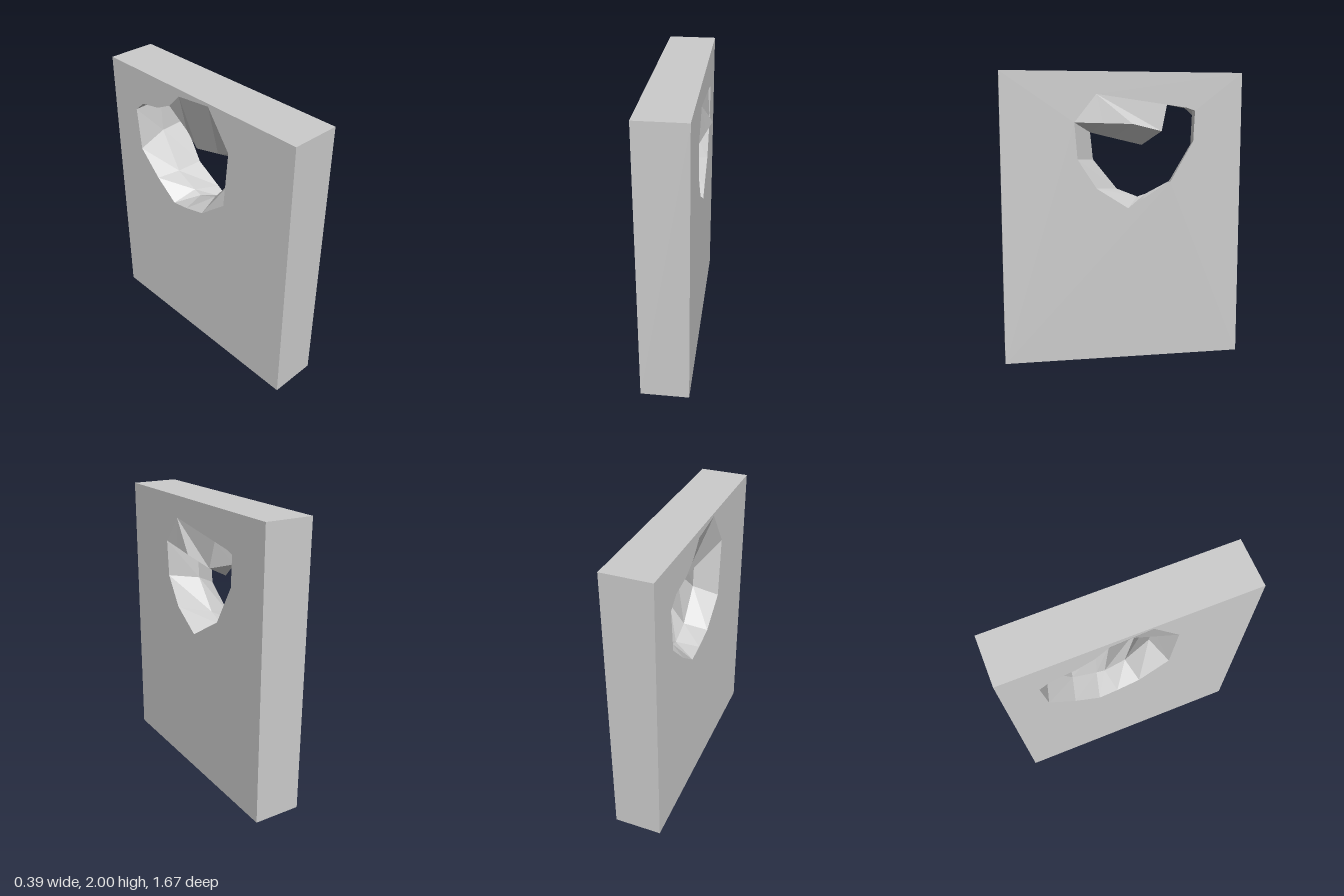
import * as THREE from 'three';

const FRONT = 0.145, BACK = -0.19, MID = -0.03, HALF = 0.835, H = 2;

// Broken opening as matching rings of [z, y] (third value: own x)
const outer = [[.34, 1.66], [.32, 1.41], [.19, 1.21], [-.03, 1.07], [-.13, 1.13], [-.33, 1.25], [-.49, 1.53],
  [-.5, 1.74], [-.44, 1.76], [-.3, 1.78], [-.26, 1.6, .16], [-.05, 1.65, .198], [.15, 1.655, .17]];
const middle = [[.21, 1.59], [.19, 1.4], [.02, 1.19], [-.13, 1.13], [-.19, 1.15], [-.36, 1.23], [-.52, 1.5],
  [-.53, 1.74], [-.47, 1.78], [-.3, 1.79], [-.26, 1.6], [-.16, 1.5], [.05, 1.55]];
const inner = [[.31, 1.73], [.27, 1.32], [.06, 1.15], [-.1, 1.11], [-.23, 1.09], [-.4, 1.22], [-.57, 1.39],
  [-.6, 1.69], [-.52, 1.76], [-.36, 1.79], [-.24, 1.85], [-.14, 1.95], [.13, 1.98]];
const chunkTop = [.19, 1.85];

const material = new THREE.MeshStandardMaterial({ color: 0xcccccc, flatShading: true });
const thin = new THREE.MeshStandardMaterial({ color: 0xcccccc, flatShading: true, side: THREE.DoubleSide });

const at = (p, x) => new THREE.Vector3(p[2] ?? x, p[1], p[0]);

function mesh(name, geometry, mat = material) {
  const m = new THREE.Mesh(geometry, mat);
  m.name = name;
  return m;
}

function fromTriangles(points) {
  const g = new THREE.BufferGeometry().setFromPoints(points);
  g.computeVertexNormals();
  return g;
}

// Large wall face with the opening cut out; side is +1 or -1 along x
function wallFace(side, x, hole) {
  const shape = new THREE.Shape([[-HALF, 0], [HALF, 0], [HALF, H], [-HALF, H]].map(p => new THREE.Vector2(...p)));
  shape.holes.push(new THREE.Path(hole.map(([z, y]) => new THREE.Vector2(-side * z, y))));
  return new THREE.ShapeGeometry(shape).rotateY(side * Math.PI / 2).translate(x, 0, 0);
}

export function createModel() {
  const group = new THREE.Group();

  // Edges of the slab: a box without its two large faces
  const rim = new THREE.BoxGeometry(FRONT - BACK, H, HALF * 2).translate((FRONT + BACK) / 2, H / 2, 0);
  rim.setIndex(Array.from(rim.index.array).slice(12));
  rim.clearGroups();
  group.add(mesh('wallEdges', rim));

  group.add(mesh('wallOuterFace', wallFace(1, FRONT, [...outer.slice(0, 10), chunkTop])));
  group.add(mesh('wallInnerFace', wallFace(-1, BACK, inner)));

  // Jagged walls of the opening, joined ring to ring
  const rings = [outer.map(p => at(p, FRONT)), middle.map(p => at(p, MID)), inner.map(p => at(p, BACK))];
  const tris = [];
  for (let r = 0; r < 2; r++) {
    for (let i = 0; i < outer.length; i++) {
      const j = (i + 1) % outer.length;
      const [a, b, c, d] = [rings[r][i], rings[r][j], rings[r + 1][j], rings[r + 1][i]];
      tris.push(a, b, c, a, c, d);
    }
  }
  group.add(mesh('brokenOpening', fromTriangles(tris), thin));

  // Loosened chunk tilting out above the opening
  const lip = [9, 10, 11, 12, 0].map(i => rings[0][i]);
  const fan = [];
  for (let i = 0; i < lip.length - 1; i++) fan.push(at(chunkTop, FRONT), lip[i], lip[i + 1]);
  group.add(mesh('looseChunk', fromTriangles(fan), thin));

  return group;
}
